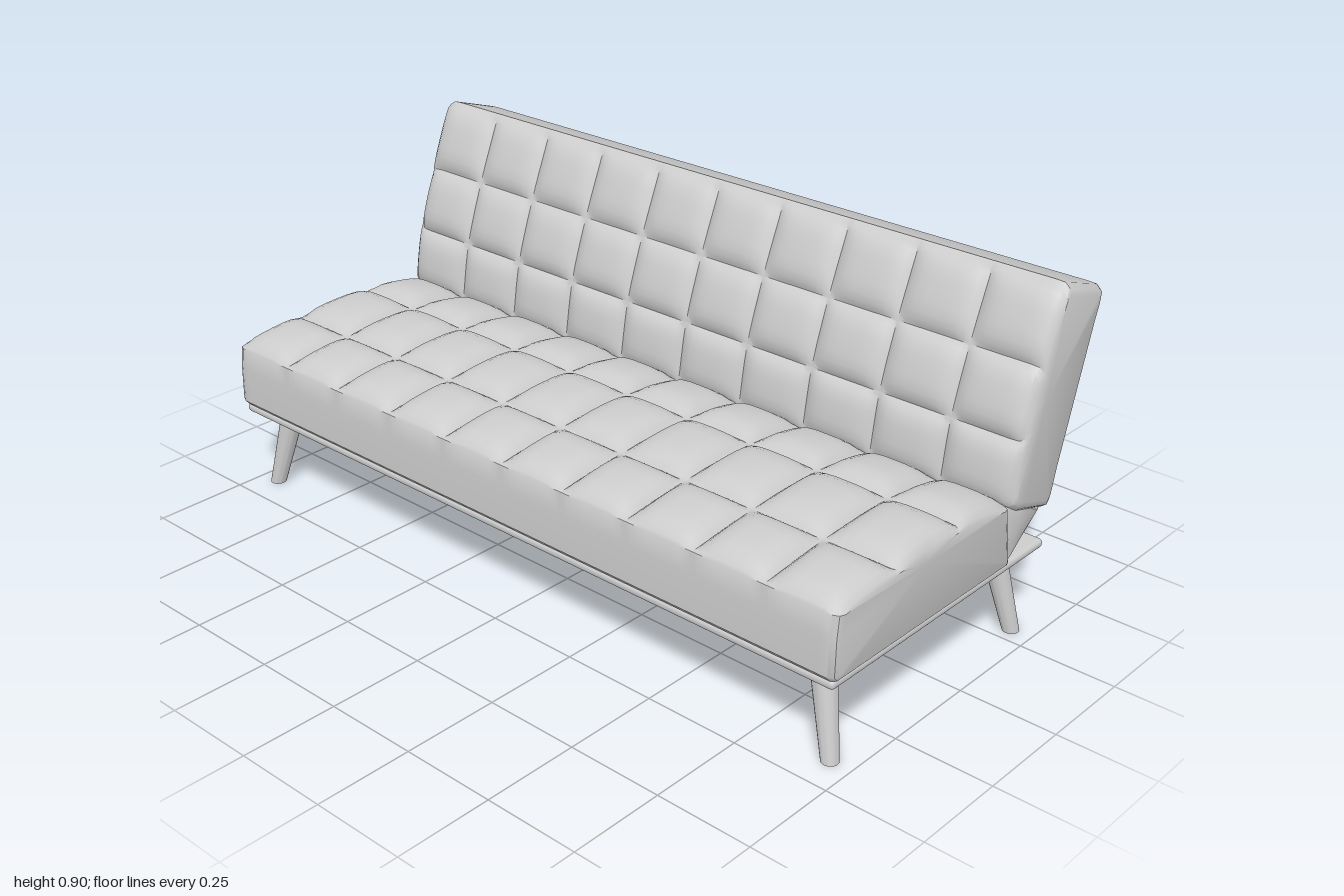
import * as THREE from 'three';
import { toCreasedNormals } from 'three/addons/utils/BufferGeometryUtils.js';
import { RoundedBoxGeometry } from 'three/addons/geometries/RoundedBoxGeometry.js';

const COLUMNS = 10;
const STEPS = 10;
const ease = (t) => 0.5 - 0.5 * Math.cos(Math.PI * t);
const pillow = (t) => 1 - Math.abs(2 * t - 1) ** 4;

// Loft a closed (z, y) section along x, with rounded ends and flat caps
function loft(section, halfWidth, round) {
  const positions = [], indices = [];
  const rows = COLUMNS * STEPS;
  let n = 0;
  const centres = [];
  for (let i = 0; i <= rows; i++) {
    const u = ease((i % STEPS) / STEPS);
    const x = ((Math.floor(i / STEPS) + u) / COLUMNS * 2 - 1) * halfWidth;
    const ring = section(u, x);
    n = ring.length;
    const cz = ring.reduce((s, p) => s + p[0], 0) / n;
    const cy = ring.reduce((s, p) => s + p[1], 0) / n;
    const e = Math.max(0, Math.abs(x) - halfWidth + round) / round;
    const inset = round * (1 - Math.sqrt(Math.max(0, 1 - e * e)));
    for (const [z, y] of ring) {
      const k = 1 - inset / Math.hypot(z - cz, y - cy);
      positions.push(x, cy + (y - cy) * k, cz + (z - cz) * k);
    }
    if (i === 0 || i === rows) centres.push([x, cy, cz]);
  }
  for (let i = 0; i < rows; i++) {
    for (let j = 0; j < n; j++) {
      const a = i * n + j, b = i * n + (j + 1) % n;
      indices.push(a, a + n, b, b, a + n, b + n);
    }
  }
  const first = (rows + 1) * n, last = rows * n;
  positions.push(...centres[0], ...centres[1]);
  for (let j = 0; j < n; j++) {
    const k = (j + 1) % n;
    indices.push(first, j, k, first + 1, last + k, last + j);
  }
  const geometry = new THREE.BufferGeometry();
  geometry.setAttribute('position', new THREE.Float32BufferAttribute(positions, 3));
  geometry.setIndex(indices);
  return toCreasedNormals(geometry, 0.7);
}

// Cushion whose face puffs out between the seams; the other sides stay plain
function tuftedCushion(seams, puff, body, halfWidth, round) {
  const curve = new THREE.CatmullRomCurve3(seams.map(([z, y]) => new THREE.Vector3(z, y, 0)));
  const panels = seams.length - 1;
  const face = [];
  for (let i = 0; i <= panels * STEPS; i++) {
    const v = ease((i % STEPS) / STEPS);
    const t = Math.min(1, (Math.floor(i / STEPS) + v) / panels);
    face.push({ p: curve.getPoint(t), d: curve.getTangent(t), lift: puff * pillow(v) });
  }
  return loft((u, x) => [
    ...face.map(({ p, d, lift }) => {
      const h = lift * pillow(u);
      return [p.x + d.y * h, p.y - d.x * h];
    }),
    ...body(x),
  ], halfWidth, round);
}

export function createModel() {
  const group = new THREE.Group();
  const grey = new THREE.MeshStandardMaterial({ color: 0xcccccc });
  grey.name = 'light grey';
  const add = (name, geometry) => {
    const mesh = new THREE.Mesh(geometry, grey);
    mesh.name = name;
    group.add(mesh);
    return mesh;
  };

  // Seat cushion
  add('seatCushion', tuftedCushion(
    [[0.468, 0.405], [0.265, 0.425], [0.03, 0.43], [-0.165, 0.4]], 0.03,
    () => [[-0.19, 0.25], [-0.185, 0.243], [0.465, 0.243], [0.475, 0.255], [0.474, 0.35]],
    0.99, 0.02));

  // Reclined backrest, with slightly hollow panels at the ends of its rear
  add('backrest', tuftedCushion(
    [[-0.163, 0.4], [-0.19, 0.555], [-0.245, 0.72], [-0.315, 0.89]], 0.022,
    (x) => {
      const hollow = Math.abs(x) > 0.84 && Math.abs(x) < 0.965 ? 0.012 : 0;
      return [[-0.325, 0.898], [-0.465, 0.852], [-0.475, 0.843], [-0.473, 0.83],
        [-0.46 + hollow, 0.788], [-0.345 + hollow, 0.415],
        [-0.325, 0.35], [-0.315, 0.34], [-0.2, 0.375]];
    }, 1, 0.028));

  // Folded fabric joining the seat and the backrest
  add('hingeGusset', loft(
    () => [[-0.15, 0.4], [-0.22, 0.39], [-0.315, 0.343], [-0.26, 0.295], [-0.19, 0.246], [-0.16, 0.3]],
    0.982, 0.015));

  // Piping on the rear of the backrest
  const rear = (x, t) => new THREE.Vector3(x, 0.365 + 0.462 * t, -0.33 - 0.1425 * t);
  const pipe = (a, b) => add('rearPiping',
    new THREE.TubeGeometry(new THREE.LineCurve3(a, b), 1, 0.005, 6));
  for (const x of [-0.97, -0.83, 0.83, 0.97]) pipe(rear(x, 0), rear(x, 1));
  for (const t of [0, 1]) pipe(rear(-0.97, t), rear(0.97, t));

  // Platform
  add('platform', new RoundedBoxGeometry(1.96, 0.024, 0.812, 3, 0.011)).position.set(0, 0.231, 0.06);

  // Splayed tapered legs, sheared so both ends stay level
  for (const side of [-1, 1]) {
    for (const [name, zTop, zFoot] of [['frontLeg', 0.38, 0.411], ['backLeg', -0.266, -0.296]]) {
      const leg = new THREE.CylinderGeometry(0.032, 0.021, 0.225, 24);
      leg.translate(0, 0.1125, 0);
      const p = leg.attributes.position;
      for (let i = 0; i < p.count; i++) {
        const t = p.getY(i) / 0.225;
        p.setX(i, p.getX(i) + side * THREE.MathUtils.lerp(0.943, 0.89, t));
        p.setZ(i, p.getZ(i) + THREE.MathUtils.lerp(zFoot, zTop, t));
      }
      leg.computeVertexNormals();
      add(name, toCreasedNormals(leg, 0.7));
    }
  }
  return group;
}
